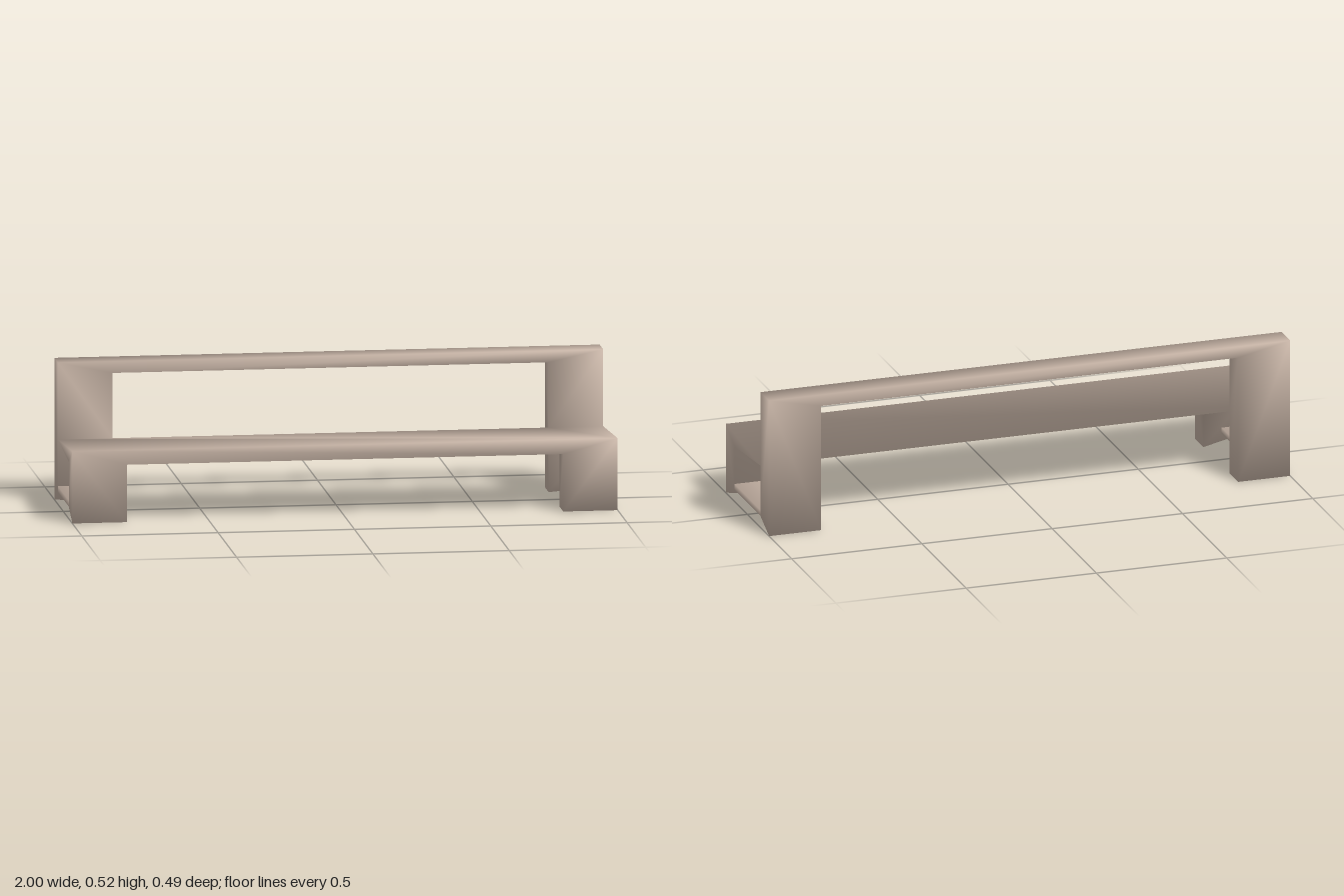
import * as THREE from 'three';

const OUT = 1, IN = 0.8;         // outer and inner x of the posts
const ZO = 0.245, ZI = 0.147;    // outer and inner z of the posts
const CHAMFER = 0.045;           // cut at the foot, where the stretcher meets
const REAR = [-ZI, 0.239];       // [z, y] of the seat's thin rear edge

const wood = new THREE.MeshStandardMaterial({ color: 0xc8b5a7 });
wood.name = 'warm taupe';

const at = (x, [z, y]) => [x, y, z];

// Collects triangles of one part; polygons are fanned from their first point
function createPart(name) {
  const triangles = [];
  const face = (points, xSign = 1, zSign = 1) => {
    for (let i = 1; i < points.length - 1; i++) {
      const tri = [points[0], points[i], points[i + 1]];
      if (xSign * zSign < 0) tri.reverse();
      triangles.push(tri.map(([x, y, z]) => new THREE.Vector3(x * xSign, y, z * zSign)));
    }
  };
  return { name, triangles, face };
}

// Posts of one portal. H is the upper corner of the rear face; joint, if given,
// is the [z, y] point on the rear face where the seat meets it.
function addPosts(part, T, H, under, zSign, joint) {
  const Uo = at(IN, [ZO, under]), Ui = at(IN, [ZI, under]);
  const A = [OUT, 0, ZO], B = [OUT, CHAMFER, ZI];
  const C = [IN, 0, ZI], D = [IN, 0, ZO];
  const top = at(OUT, T), hub = at(OUT, H);
  const jOut = joint ? [at(OUT, joint)] : [], jIn = joint ? [at(IN, joint)] : [];
  for (const s of [1, -1]) {
    const add = points => part.face(points, s, zSign);
    add([top, A, B, ...jOut, hub]);              // outer side
    add([top, at(IN, [ZO, under]), D, A]);       // outward face
    add([Uo, Ui, ...jIn, C, D]);                 // inner side
    add([A, D, C, B]);                           // foot
    if (joint) {                                 // face towards the seat
      add([hub, ...jOut, ...jIn, Ui]);
      add([...jOut, B, C, ...jIn]);
    } else {
      add([hub, B, C, Ui]);
    }
  }
}

// Outward face and flat underside of a beam between the posts
function addBeam(part, T, under, zSign) {
  const Uo = [ZO, under], Ui = [ZI, under];
  part.face([at(-OUT, T), at(-IN, Uo), at(IN, Uo), at(OUT, T)], 1, zSign);
  part.face([at(IN, Uo), at(-IN, Uo), at(-IN, Ui), at(IN, Ui)], 1, zSign);
}

// Wedge seat on short front legs
function seatAndFrontLegs() {
  const part = createPart('seatAndFrontLegs');
  const under = 0.212, T = [ZO, 0.266], H = [ZI, under];
  addPosts(part, T, H, under, 1);
  addBeam(part, T, under, 1);
  for (const s of [1, -1]) part.face([T, H, REAR].map(p => at(OUT, p)), s);
  // top
  part.face([at(OUT, T), ...[OUT, IN, -IN, -OUT].map(x => at(x, REAR)), at(-OUT, T)]);
  // underside
  part.face([at(-IN, H), at(-OUT, H), ...[-OUT, -IN, IN].map(x => at(x, REAR))]);
  part.face([at(IN, H), at(-IN, H), at(IN, REAR), at(OUT, REAR), at(OUT, H)]);
  return part;
}

// Tall back posts with the top rail
function backrestFrame() {
  const part = createPart('backrestFrame');
  const under = 0.48, T = [ZO, 0.523], H = [ZI, 0.523];
  addPosts(part, T, H, under, -1, [ZI, REAR[1]]);
  addBeam(part, T, under, -1);
  part.face([at(OUT, H), at(IN, [ZI, under]), at(-IN, [ZI, under]), at(-OUT, H)], 1, -1);
  part.face([at(OUT, H), at(-OUT, H), at(-OUT, T), at(OUT, T)], 1, -1);
  return part;
}

// Low bar between front and back foot, open where it enters the posts
function stretcher(name, side) {
  const part = createPart(name);
  const ring = [[OUT, CHAMFER], [OUT, 0.067], [0.87, 0.067], [0.87, CHAMFER]];
  ring.forEach(([x, y], i) => {
    const [x2, y2] = ring[(i + 1) % ring.length];
    part.face([[x, y, ZI], [x, y, -ZI], [x2, y2, -ZI], [x2, y2, ZI]], side);
  });
  return part;
}

// Angle-weighted normals shared by all parts that meet in a point
function buildMeshes(parts) {
  const normals = new Map();
  const key = p => p.toArray().map(v => Math.round(v * 1000)).join();
  for (const { triangles } of parts) {
    for (const tri of triangles) {
      const n = new THREE.Triangle(...tri).getNormal(new THREE.Vector3());
      tri.forEach((p, i) => {
        const a = tri[(i + 1) % 3].clone().sub(p), b = tri[(i + 2) % 3].clone().sub(p);
        if (!normals.has(key(p))) normals.set(key(p), new THREE.Vector3());
        normals.get(key(p)).addScaledVector(n, a.angleTo(b));
      });
    }
  }
  normals.forEach(n => n.normalize());
  return parts.map(({ name, triangles }) => {
    const points = triangles.flat();
    const geometry = new THREE.BufferGeometry().setFromPoints(points);
    const flat = points.flatMap(p => normals.get(key(p)).toArray());
    geometry.setAttribute('normal', new THREE.Float32BufferAttribute(flat, 3));
    const mesh = new THREE.Mesh(geometry, wood);
    mesh.name = name;
    return mesh;
  });
}

export function createModel() {
  const bench = new THREE.Group();
  bench.name = 'bench';
  bench.add(...buildMeshes([
    seatAndFrontLegs(),
    backrestFrame(),
    stretcher('leftStretcher', 1),
    stretcher('rightStretcher', -1),
  ]));
  return bench;
}
